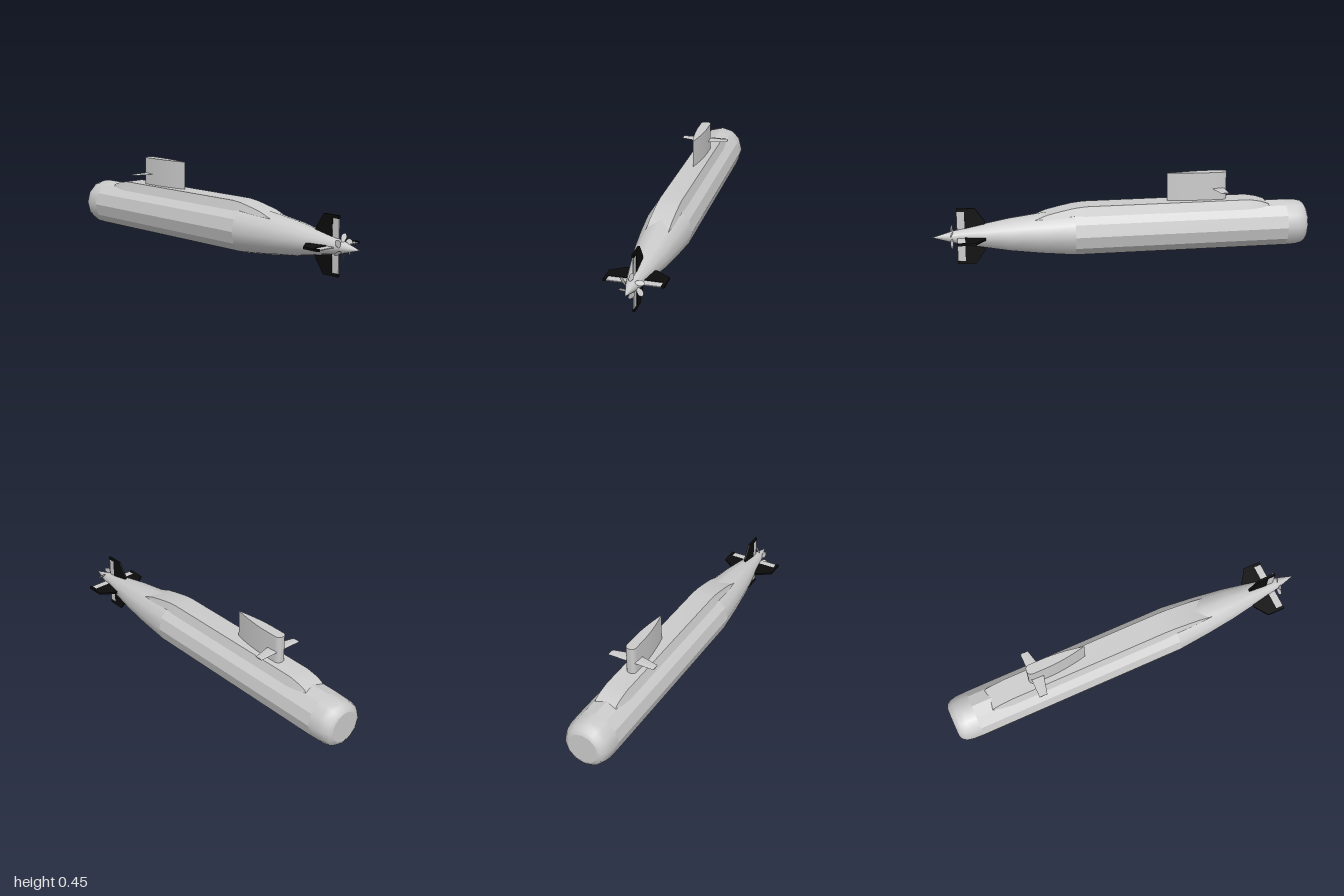
import * as THREE from 'three';
import { toCreasedNormals } from 'three/addons/utils/BufferGeometryUtils.js';

const AXIS = 0.15; // height of the hull centreline
const grey = new THREE.MeshStandardMaterial({ color: 0xcccccc });
const black = new THREE.MeshStandardMaterial({ color: 0x0c0c0c });
const thin = new THREE.MeshStandardMaterial({ color: 0xcccccc, side: THREE.DoubleSide });

function add(parent, name, geometry, material = grey) {
  const mesh = new THREE.Mesh(geometry, material);
  mesh.name = name;
  parent.add(mesh);
  return mesh;
}

// Twelve-sided body of revolution along x, from [x, radius] pairs
function turned(profile) {
  const points = profile.map(([x, r]) => new THREE.Vector2(r, x));
  return new THREE.LatheGeometry(points, 12).rotateZ(-Math.PI / 2);
}

// Skin over matching closed sections, capped at both ends
function loft(rings) {
  const n = rings[0].length;
  const index = [];
  for (let i = 0; i < rings.length - 1; i++) {
    for (let j = 0; j < n; j++) {
      const a = i * n + j, b = i * n + (j + 1) % n;
      index.push(a, b, a + n, b, b + n, a + n);
    }
  }
  const last = (rings.length - 1) * n;
  for (let j = 1; j < n - 1; j++) {
    index.push(0, j + 1, j, last, last + j, last + j + 1);
  }
  const geometry = new THREE.BufferGeometry();
  geometry.setAttribute('position', new THREE.Float32BufferAttribute(rings.flat(2), 3));
  geometry.setIndex(index);
  return toCreasedNormals(geometry, 0.5);
}

function extrudeCentred(points, thickness) {
  const shape = new THREE.Shape(points.map(([x, y]) => new THREE.Vector2(x, y)));
  return new THREE.ExtrudeGeometry(shape, { depth: thickness, bevelEnabled: false })
    .translate(0, 0, -thickness / 2);
}

function buildHull() {
  const hull = new THREE.Group();
  hull.name = 'hull';
  hull.position.y = AXIS;
  add(hull, 'noseCap', turned([[-1, 0], [-1, 0.083]]));
  add(hull, 'bow', turned([[-1, 0.083], [-0.99, 0.103], [-0.97, 0.117], [-0.935, 0.125], [-0.88, 0.127]]));
  const middle = turned([[-0.88, 0.127], [0.26, 0.127]]).toNonIndexed();
  middle.computeVertexNormals();
  add(hull, 'midBody', middle);
  add(hull, 'sternTaper', turned([[0.26, 0.127], [0.44, 0.109], [0.6, 0.088], [0.74, 0.062], [0.895, 0.031]]));
  add(hull, 'tailCone', turned([[0.895, 0.031], [1, 0]]));
  return hull;
}

// Raised deck casing: flat top, sloping sides, faired into the hull at both ends
function buildCasing() {
  const stations = [[-0.81, 0.235], [-0.78, 0.273], [-0.74, 0.287], [-0.68, 0.298],
    [0.2, 0.298], [0.26, 0.292], [0.33, 0.278], [0.4, 0.262], [0.48, 0.232]];
  return loft(stations.map(([x, top]) => {
    const t = 0.058, b = t + (top - 0.2) * 0.34;
    return [[x, 0.2, b], [x, 0.2, -b], [x, top, -t], [x, top, t]];
  }));
}

// Sail with a round nose and a sharp trailing edge
function buildSail() {
  const w = 0.027;
  const shape = new THREE.Shape();
  shape.moveTo(-0.24, 0);
  shape.bezierCurveTo(-0.32, 0.018, -0.4, w, -0.46, w);
  shape.lineTo(-0.53, w);
  shape.quadraticCurveTo(-0.56, w, -0.56, 0);
  shape.quadraticCurveTo(-0.56, -w, -0.53, -w);
  shape.lineTo(-0.46, -w);
  shape.bezierCurveTo(-0.4, -w, -0.32, -0.018, -0.24, 0);
  const geometry = new THREE.ExtrudeGeometry(shape, { depth: 0.152, bevelEnabled: false, curveSegments: 8 });
  geometry.rotateX(-Math.PI / 2).translate(0, 0.295, 0);
  return toCreasedNormals(geometry, 0.7);
}

// One tapered foil running through the sail forms both planes
function buildSailPlanes() {
  const y = 0.358, h = 0.004;
  return loft([[-0.128, -0.505], [0, -0.475], [0.128, -0.505]].map(([z, aft]) => [
    [-0.548, y, z], [-0.535, y - h, z], [aft, y, z], [-0.535, y + h, z],
  ]));
}

// Stern fin: dark fixed blade with a grey hinged flap in its notch
function buildFin() {
  const fin = new THREE.Group();
  fin.name = 'sternFin';
  add(fin, 'finBlade', extrudeCentred([[0.72, 0.02], [0.725, 0.078], [0.775, 0.15], [0.87, 0.15],
    [0.87, 0.134], [0.83, 0.134], [0.83, 0.02]].reverse(), 0.011), black);
  add(fin, 'finFlap', extrudeCentred([[0.829, 0.03], [0.87, 0.04], [0.87, 0.134], [0.829, 0.134]], 0.005));
  return fin;
}

function buildPropeller() {
  const propeller = new THREE.Group();
  propeller.name = 'propeller';
  propeller.position.set(0.898, AXIS, 0);
  // Teardrop blade: pitched about its long axis, then swept back
  const outline = new THREE.Shape();
  outline.moveTo(0, -0.026);
  outline.bezierCurveTo(0.012, -0.02, 0.024, 0.016, 0, 0.024);
  outline.bezierCurveTo(-0.024, 0.016, -0.012, -0.02, 0, -0.026);
  const blade = new THREE.ShapeGeometry(outline, 8)
    .rotateY(Math.PI / 2 - 0.55)
    .rotateX(-Math.PI / 6)
    .translate(0, 0.047, 0);
  for (let i = 0; i < 6; i++) {
    add(propeller, 'propellerBlade', blade, thin).rotation.x = i * Math.PI / 3;
  }
  return propeller;
}

export function createModel() {
  const model = new THREE.Group();
  model.name = 'submarine';
  model.add(buildHull());
  add(model, 'deckCasing', buildCasing());
  add(model, 'sail', buildSail());
  add(model, 'sailPlanes', buildSailPlanes());
  for (let i = 0; i < 4; i++) {
    const fin = buildFin();
    fin.position.y = AXIS;
    fin.rotation.x = i * Math.PI / 2;
    model.add(fin);
  }
  model.add(buildPropeller());
  return model;
}
